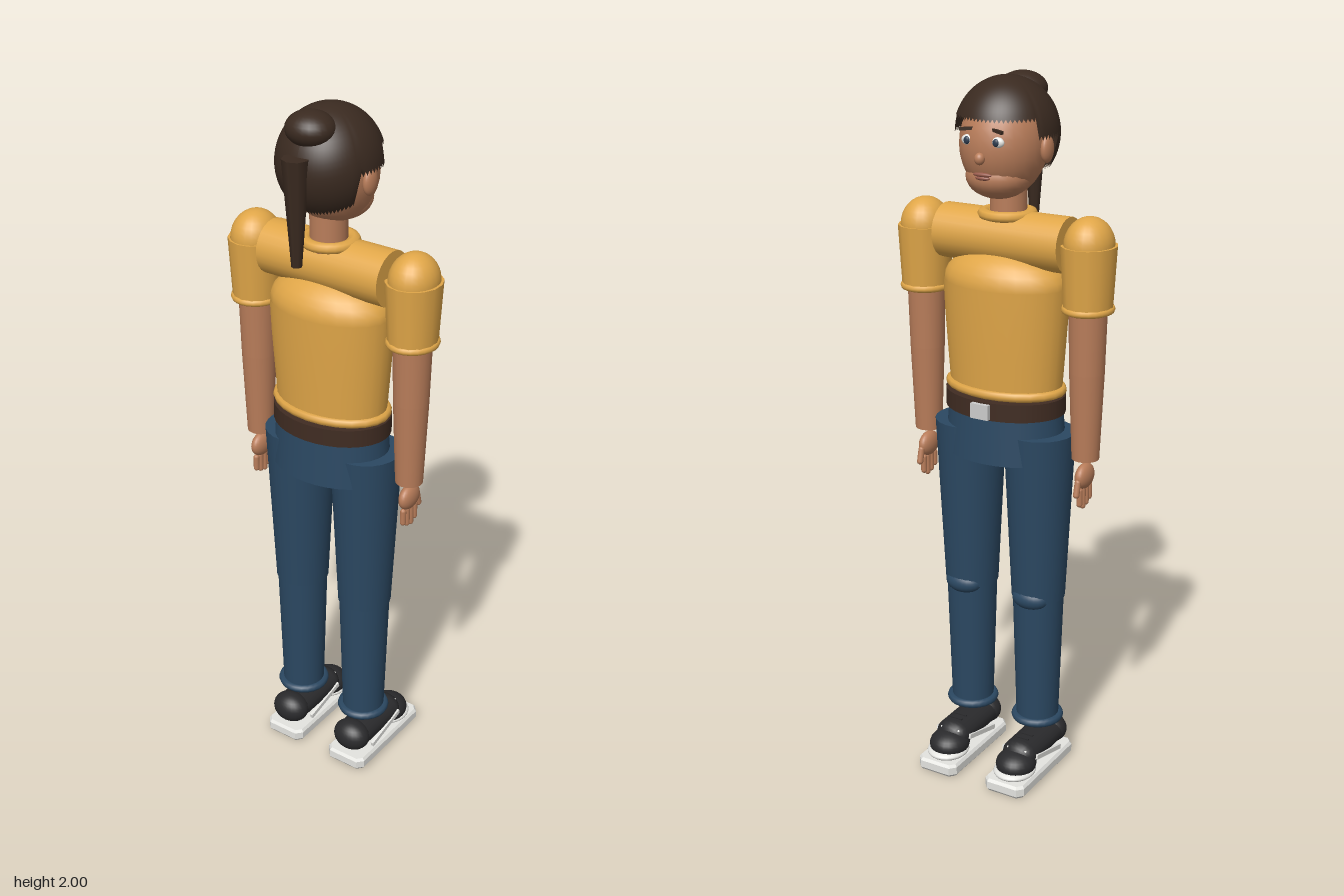
import * as THREE from 'three';

const mat = (name, color) => Object.assign(new THREE.MeshStandardMaterial({ color }), { name });

export function createModel() {
  const root = new THREE.Group();
  root.name = 'standingFigure';
  const shirt = mat('shirt yellow', 0xe0a648);
  const skin = mat('skin', 0xb97d5a);
  const hair = mat('hair brown', 0x3a2a20);
  const denim = mat('denim blue', 0x2b4862);
  const black = mat('shoe black', 0x2a2a2c);
  const white = mat('white', 0xe4e4e0);
  const leather = mat('belt leather', 0x402c22);
  const silver = mat('buckle silver', 0xcccccc);
  const iris = mat('iris', 0x2c3c50);
  const lip = mat('lips', 0x96594a);
  hair.side = THREE.DoubleSide;

  const add = (parent, name, geo, m, pos, scale = [1, 1, 1], rot = [0, 0, 0]) => {
    const mesh = new THREE.Mesh(geo, m);
    mesh.name = name;
    mesh.position.set(...pos);
    mesh.scale.set(...scale);
    mesh.rotation.set(...rot);
    parent.add(mesh);
    return mesh;
  };
  const ball = new THREE.SphereGeometry(1, 24, 16);
  const tube = (top, bottom, h, n = 20) => new THREE.CylinderGeometry(top, bottom, h, n);
  const ring = (r, t) => new THREE.TorusGeometry(r, t, 8, 24).rotateX(Math.PI / 2);
  const group = (name) => {
    const g = new THREE.Group();
    g.name = name;
    root.add(g);
    return g;
  };

  // Torso: tapered body, domed chest and a rounded shoulder bar
  const torso = group('torso');
  const profile = [[0.165, 1.155], [0.172, 1.25], [0.18, 1.36], [0.184, 1.45], [0, 1.45]]
    .map(([r, y]) => new THREE.Vector2(r, y));
  add(torso, 'shirtBody', new THREE.LatheGeometry(profile.slice(0, 4), 32), shirt, [0, 0, 0.013], [1, 1, 0.67]);
  add(torso, 'chest', ball, shirt, [0, 1.45, 0.013], [0.182, 0.098, 0.122]);
  add(torso, 'shoulderBar', tube(0.075, 0.075, 0.38, 24), shirt, [0, 1.57, 0.014], [1, 1, 1], [0, 0, Math.PI / 2]);
  add(torso, 'shirtHem', ring(0.166, 0.013), shirt, [0, 1.16, 0.012], [1, 1, 0.68]);
  add(torso, 'collar', ring(0.063, 0.018), shirt, [0, 1.635, 0.02], [1, 0.8, 1]);

  // Belt, buckle and hips
  const hips = group('hips');
  add(hips, 'belt', tube(0.175, 0.175, 0.05, 32), leather, [0, 1.12, 0.01], [1, 1, 0.75]);
  add(hips, 'buckle', new THREE.BoxGeometry(0.054, 0.042, 0.014), silver, [0, 1.12, -0.126]);
  add(hips, 'pelvis', tube(0.168, 0.18, 0.14, 32), denim, [0, 1.035, 0.012], [1, 1, 0.72]);

  // Head and face, looking toward -z
  const head = group('head');
  add(head, 'neck', tube(0.05, 0.05, 0.17), skin, [0, 1.67, 0.025]);
  add(head, 'skull', ball, skin, [0, 1.822, 0], [0.115, 0.14, 0.122]);
  add(head, 'jaw', ball, skin, [0, 1.742, -0.025], [0.088, 0.06, 0.086]);
  add(head, 'nose', ball, skin, [0, 1.8, -0.122], [0.014, 0.016, 0.014]);
  add(head, 'upperLip', ball, lip, [0, 1.757, -0.109], [0.028, 0.006, 0.007]);
  add(head, 'lowerLip', ball, lip, [0, 1.748, -0.108], [0.022, 0.006, 0.008]);
  for (const s of [-1, 1]) {
    add(head, 'ear', ball, skin, [s * 0.12, 1.815, 0.016], [0.015, 0.036, 0.026]);
    add(head, 'eye', ball, white, [s * 0.043, 1.843, -0.106], [0.02, 0.014, 0.01]);
    add(head, 'iris', ball, iris, [s * 0.043, 1.843, -0.114], [0.009, 0.01, 0.005]);
    add(head, 'eyebrow', new THREE.BoxGeometry(0.042, 0.008, 0.009), hair,
      [s * 0.044, 1.872, -0.109], [1, 1, 1], [0, s * 0.35, s * -0.1]);
  }

  // Hair cap: a sphere whose lower edge steps up from nape to temple to fringe
  const cap = new THREE.SphereGeometry(1, 72, 20);
  const p = cap.attributes.position;
  const uv = cap.attributes.uv;
  for (let i = 0; i < p.count; i++) {
    const a = uv.getX(i) * Math.PI * 2;
    const back = Math.cos(a);
    const edge = back > 0.36 ? 2.2 + 0.4 * (back - 0.36) : back > -0.42 ? 1.6 : 1.27;
    const t = (1 - uv.getY(i)) * edge;
    p.setXYZ(i, Math.sin(t) * Math.sin(a), Math.cos(t), Math.sin(t) * back);
  }
  cap.computeVertexNormals();
  add(head, 'hairCap', cap, hair, [0, 1.848, 0.018], [0.138, 0.148, 0.146]);
  add(head, 'hairBun', ball, hair, [0, 1.952, 0.1], [0.067, 0.046, 0.062]);
  add(head, 'ponytail', tube(0.036, 0.014, 0.285, 8), hair, [0, 1.752, 0.164]);

  // Sole outline with clipped corners, bevelled top and bottom
  const outline = [[-0.045, -0.2], [0.045, -0.2], [0.058, -0.185], [0.058, 0.095],
    [0.045, 0.11], [-0.045, 0.11], [-0.058, 0.095], [-0.058, -0.185]];
  const soleGeo = new THREE.ExtrudeGeometry(
    new THREE.Shape(outline.map(([x, z]) => new THREE.Vector2(x, -z))),
    { depth: 0.022, bevelThickness: 0.008, bevelSize: 0.006, bevelSegments: 1 });
  soleGeo.rotateX(-Math.PI / 2);

  for (const s of [-1, 1]) {
    const side = s > 0 ? 'left' : 'right';

    // Arm with sleeve
    const arm = group(side + 'Arm');
    arm.position.set(s * 0.252, 0, 0.0075);
    add(arm, 'shoulder', ball, shirt, [0, 1.58, 0], [0.066, 0.075, 0.074]);
    add(arm, 'sleeve', tube(0.08, 0.07, 0.175, 14), shirt, [0, 1.4925, 0], [0.93, 1, 1]);
    add(arm, 'sleeveCuff', ring(0.066, 0.01), shirt, [0, 1.41, 0], [0.93, 1, 1]);
    add(arm, 'upperArm', tube(0.053, 0.048, 0.2), skin, [0, 1.335, 0]);
    add(arm, 'forearm', tube(0.048, 0.038, 0.245), skin, [0, 1.1125, 0]);

    // Hand
    const hand = group(side + 'Hand');
    hand.position.set(s * 0.252, 0, 0.005);
    add(hand, 'palm', ball, skin, [0, 0.94, 0], [0.021, 0.036, 0.043]);
    for (let f = 0; f < 4; f++) {
      const len = [0.035, 0.045, 0.05, 0.04][f];
      add(hand, 'finger', new THREE.CapsuleGeometry(0.0085, len, 4, 10), skin,
        [0, 0.905 - len / 2, 0.028 - f * 0.0185]);
    }
    add(hand, 'thumb', new THREE.CapsuleGeometry(0.009, 0.035, 4, 10), skin,
      [0, 0.915, -0.043], [1, 1, 1], [0.25, 0, 0]);

    // Leg
    const leg = group(side + 'Leg');
    leg.position.set(s * 0.11, 0, 0.007);
    add(leg, 'thigh', tube(0.1, 0.076, 0.495, 24), denim, [0, 0.7975, 0]);
    add(leg, 'shin', tube(0.073, 0.061, 0.4, 24), denim, [0, 0.365, 0]);
    add(leg, 'knee', ball, denim, [0, 0.555, -0.045], [0.056, 0.034, 0.038]);
    add(leg, 'trouserCuff', ring(0.064, 0.012), denim, [0, 0.163, 0]);

    // Shoe, toe toward -z
    const shoe = group(side + 'Shoe');
    shoe.position.x = s * 0.113;
    add(shoe, 'sole', soleGeo, white, [0, 0.008, 0]);
    add(shoe, 'heel', ball, black, [0, 0.086, 0.07], [0.057, 0.046, 0.045]);
    add(shoe, 'upper', new THREE.CapsuleGeometry(0.04, 0.15, 6, 18).rotateX(Math.PI / 2), black,
      [0, 0.084, -0.022], [1.35, 1, 1]);
    add(shoe, 'toe', ball, black, [0, 0.064, -0.122], [0.058, 0.04, 0.062]);
    add(shoe, 'toeBumper', ball, white, [0, 0.046, -0.13], [0.06, 0.018, 0.066]);
    for (const e of [-1, 1]) {
      add(shoe, 'sideStripe', new THREE.BoxGeometry(0.009, 0.014, 0.145), white,
        [e * 0.054, 0.068, -0.03], [1, 1, 1], [0.25, 0, 0]);
      add(shoe, 'eyelet', ball, white, [e * 0.028, 0.105, -0.118], [0.005, 0.004, 0.005]);
    }
    for (let k = 0; k < 2; k++) {
      add(shoe, 'lace', new THREE.BoxGeometry(0.04, 0.004, 0.006), black, [0, 0.125, -0.06 - k * 0.025]);
    }
  }
  return root;
}
